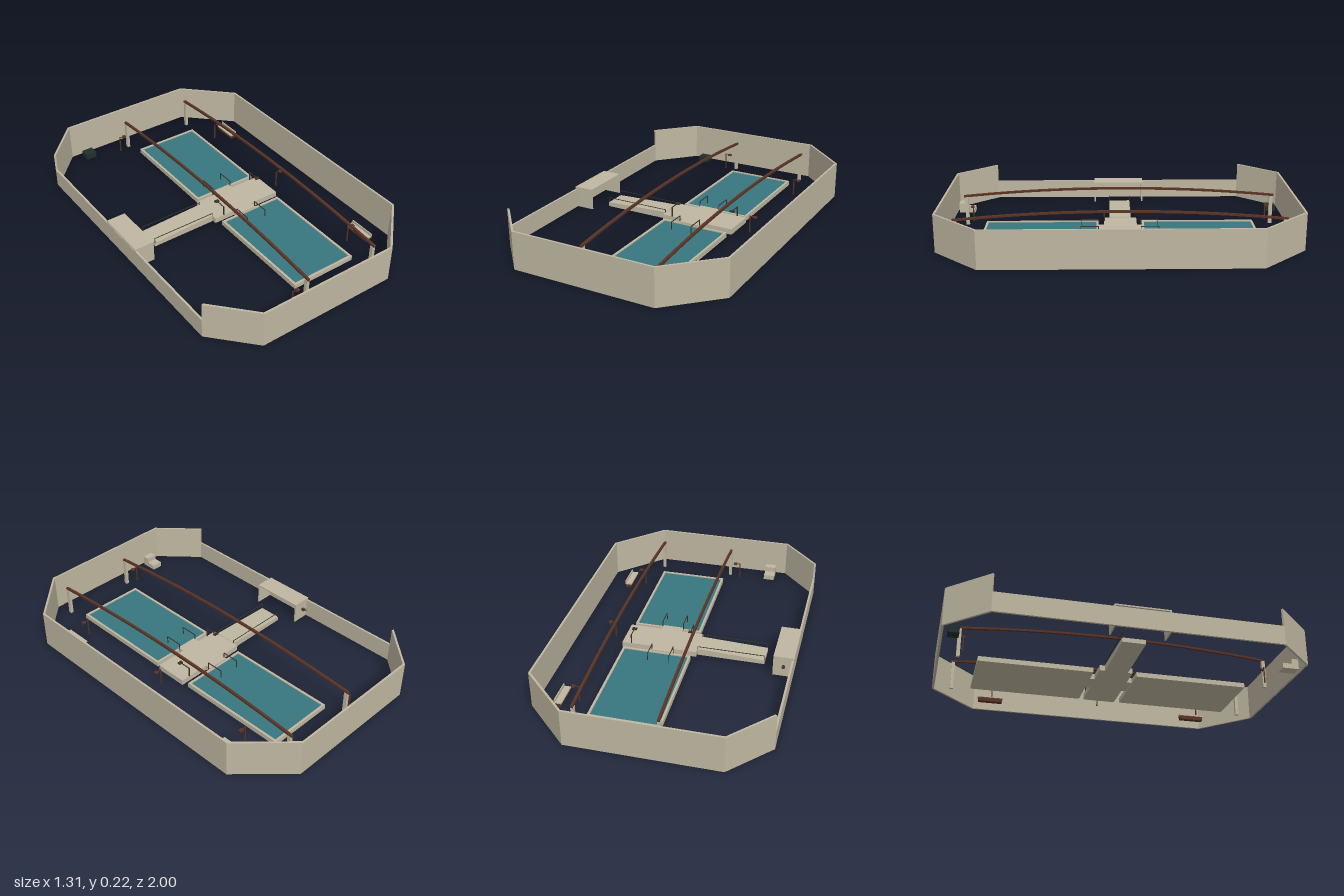
import * as THREE from 'three';

export function createModel() {
  const model = new THREE.Group();
  const material = (name, color, side = THREE.FrontSide) => {
    const m = new THREE.MeshStandardMaterial({ color, side });
    m.name = name;
    return m;
  };
  const stone = material('stone', 0xbfb7a1);
  const water = material('water', 0x37777f);
  const brown = material('brown', 0x5a3324);
  const green = material('darkGreen', 0x20302c);
  const dark = material('darkMetal', 0x3c3129);

  const add = (name, geometry, mat) => {
    const mesh = new THREE.Mesh(geometry, mat);
    mesh.name = name;
    model.add(mesh);
    return mesh;
  };
  // box given by its minimum and maximum on each axis
  const box = (name, mat, x0, x1, y0, y1, z0, z1) => {
    const mesh = add(name, new THREE.BoxGeometry(x1 - x0, y1 - y0, z1 - z0), mat);
    mesh.position.set((x0 + x1) / 2, (y0 + y1) / 2, (z0 + z1) / 2);
    return mesh;
  };
  // upright prism from plan points [x, z]
  const prism = (name, mat, points, y0, y1) => {
    const shape = new THREE.Shape(points.map(([x, z]) => new THREE.Vector2(x, -z)));
    const geometry = new THREE.ExtrudeGeometry(shape, { depth: y1 - y0, bevelEnabled: false });
    geometry.rotateX(-Math.PI / 2).translate(0, y0, 0);
    return add(name, geometry, mat);
  };

  // perimeter wall: eight mitred panels, the one on the right side is low
  const outer = [[-0.445, 1], [0.39, 1], [0.655, 0.74], [0.655, -0.74],
    [0.39, -1], [-0.445, -1], [-0.655, -0.775], [-0.655, 0.775]];
  const inner = [[-0.441, 0.988], [0.385, 0.988], [0.643, 0.735], [0.643, -0.735],
    [0.385, -0.988], [-0.441, -0.988], [-0.643, -0.77], [-0.643, 0.77]];
  outer.forEach((p, i) => {
    const j = (i + 1) % 8;
    prism('wallPanel', stone, [p, outer[j], inner[j], inner[i]], 0, i === 6 ? 0.11 : 0.215);
  });

  // two pools, each a rim on a floor with water inside
  for (const [z0, z1] of [[-0.78, -0.13], [0.12, 0.775]]) {
    const x0 = -0.065, x1 = 0.335, rim = 0.013;
    box('poolFloor', stone, x0, x1, 0, 0.008, z0, z1);
    for (const [a, b] of [[x0, x0 + rim], [x1 - rim, x1]]) box('poolRim', stone, a, b, 0.008, 0.028, z0, z1);
    for (const [a, b] of [[z0, z0 + rim], [z1 - rim, z1]]) {
      box('poolRim', stone, x0 + rim, x1 - rim, 0.008, 0.028, a, b);
    }
    box('water', water, x0 + rim, x1 - rim, 0.008, 0.022, z0 + rim, z1 - rim);
  }

  // dock between the pools with a step towards each
  prism('dock', stone, [[-0.09, 0.09], [0.04, 0.09], [0.04, 0.13], [0.165, 0.13], [0.165, 0.09], [0.35, 0.09],
    [0.35, -0.1], [0.165, -0.1], [0.165, -0.135], [0.04, -0.135], [0.04, -0.1], [-0.09, -0.1]], 0.005, 0.037);

  // ramp rising to the dock, with a thin rail on each side
  const profile = new THREE.Shape([[-0.48, 0], [-0.09, 0], [-0.09, 0.04], [-0.48, 0.025]]
    .map(([x, y]) => new THREE.Vector2(x, y)));
  const ramp = add('ramp', new THREE.ExtrudeGeometry(profile, { depth: 0.13, bevelEnabled: false }), stone);
  ramp.position.z = -0.07;
  for (const z of [-0.068, 0.058]) {
    box('rampRail', dark, -0.48, -0.09, 0.053, 0.056, z - 0.0015, z + 0.0015);
    for (const x of [-0.48, -0.093]) box('rampRailPost', dark, x, x + 0.003, 0.02, 0.054, z - 0.0015, z + 0.0015);
  }

  // pool handrails beside the steps
  for (const x of [0.04, 0.165]) for (const s of [-1, 1]) {
    const [a, b] = s > 0 ? [0.12, 0.22] : [-0.22, -0.12];
    box('handrail', dark, x - 0.002, x + 0.002, 0.065, 0.069, a, b);
    for (const z of [a, b]) box('handrailPost', dark, x - 0.002, x + 0.002, 0.02, 0.068, z - 0.002, z + 0.002);
  }

  // arched beams over the pools, carried on end posts
  for (const x of [-0.09, 0.36]) {
    const beam = new THREE.BoxGeometry(0.014, 0.012, 1.81, 1, 1, 24);
    const p = beam.attributes.position;
    for (let i = 0; i < p.count; i++) p.setY(i, p.getY(i) + 0.217 - 0.045 * (p.getZ(i) / 0.905) ** 2);
    beam.computeVertexNormals();
    add('archedBeam', beam, brown);
    model.children.at(-1).position.x = x;
    for (const z of [-0.89, 0.89]) box('beamPost', stone, x - 0.009, x + 0.009, 0, 0.168, z - 0.01, z + 0.01);
  }

  // shelter against the low wall, open underneath
  box('shelterRoof', stone, -0.655, -0.54, 0.116, 0.124, -0.155, 0.15);
  for (const z of [-0.155, 0.142]) box('shelterEnd', stone, -0.655, -0.54, 0, 0.116, z, z + 0.008);
  box('shelterArm', dark, -0.602, -0.598, 0.07, 0.074, -0.19, -0.155);
  box('shelterLamp', brown, -0.608, -0.592, 0.062, 0.074, -0.175, -0.157);

  // benches
  for (const [z0, z1] of [[-0.72, -0.57], [0.56, 0.715]]) {
    box('benchBase', brown, 0.502, 0.533, 0, 0.022, z0 + 0.004, z1 - 0.004);
    box('benchSeat', stone, 0.495, 0.537, 0.022, 0.03, z0, z1);
    box('benchBack', stone, 0.531, 0.537, 0.03, 0.045, z0, z1);
  }

  // lamp posts around the pools
  for (const [x, z] of [[0.42, -0.645], [0.42, 0], [0.42, 0.64], [-0.157, -0.87], [-0.157, 0.865]]) {
    box('lampPost', brown, x - 0.003, x + 0.003, 0, 0.1, z - 0.003, z + 0.003);
    box('lampArm', brown, x, x + 0.022, 0.096, 0.1, z - 0.002, z + 0.002);
    box('lampHead', brown, x + 0.02, x + 0.04, 0.092, 0.101, z - 0.01, z + 0.01);
  }

  // showers on the dock
  for (const [x, z, s] of [[-0.03, 0.088, -1], [0.295, -0.098, 1]]) {
    const end = z + s * 0.07;
    box('showerPost', dark, x - 0.003, x + 0.003, 0.037, 0.095, z - 0.003, z + 0.003);
    box('showerArm', dark, x - 0.002, x + 0.002, 0.091, 0.095, Math.min(z, end), Math.max(z, end));
    box('showerHead', dark, x - 0.013, x + 0.013, 0.087, 0.095, end - 0.009, end + 0.009);
  }

  // dark crate and stepped seat in the right-hand corners
  box('crate', green, -0.38, -0.315, 0, 0.035, -0.965, -0.905);
  box('seatStep', stone, -0.38, -0.315, 0, 0.03, 0.88, 0.975);
  box('seatBack', stone, -0.38, -0.315, 0.03, 0.06, 0.935, 0.975);

  return model;
}
